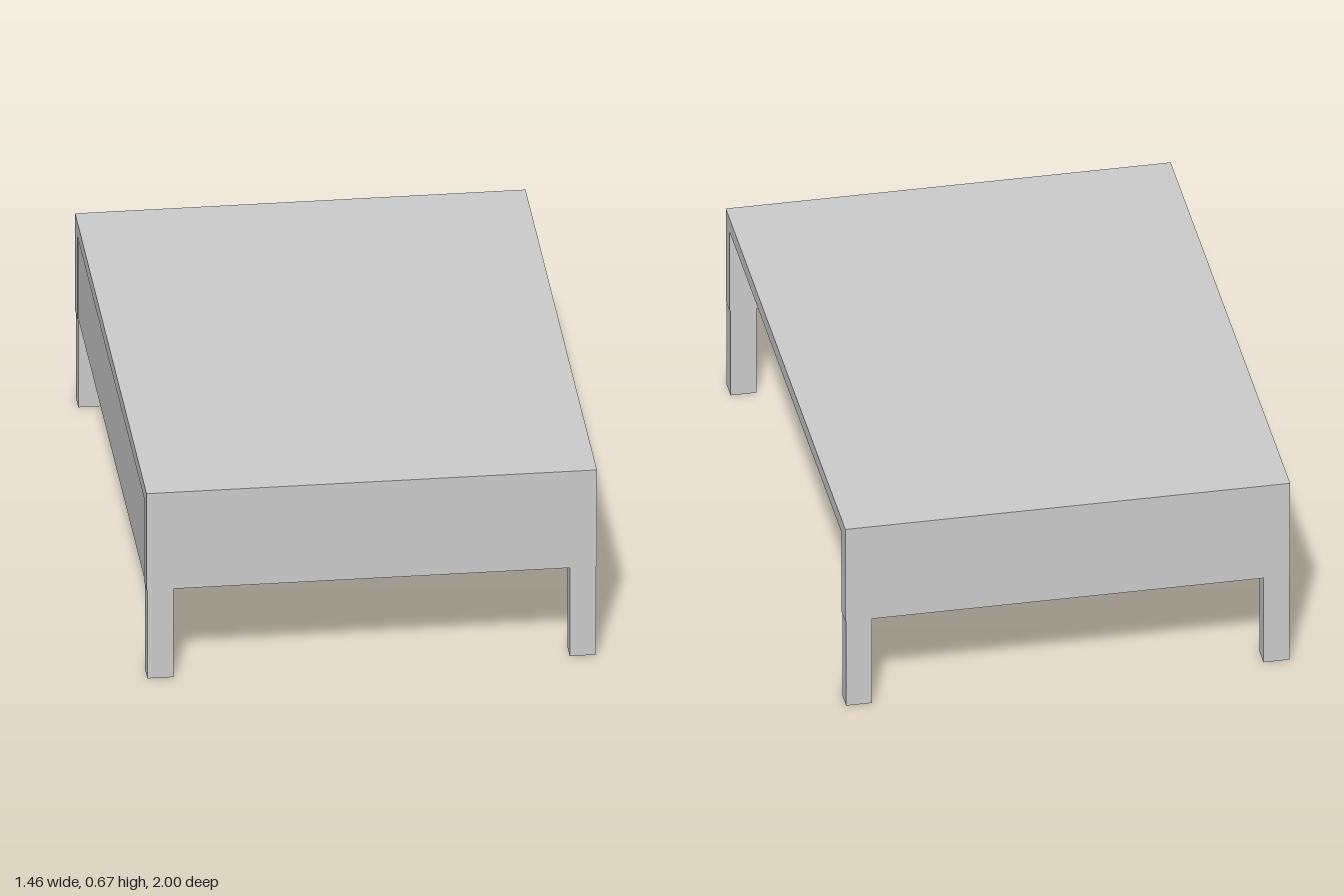
import * as THREE from 'three';

const W = 1.464, L = 2, H = 0.67;        // overall width (x), length (z), height
const TOP = 0.05;                        // thickness of the top
const APRON = 0.32;                      // underside of the aprons
const LEG_X = 0.085, LEG_Z = 0.066;      // leg section
const INSET = 0.003;                     // step between the legs and the left and right edges

export function createModel() {
  const group = new THREE.Group();
  const material = new THREE.MeshStandardMaterial({ color: 0xcccccc });

  const addBox = (name, w, h, d, x, bottom, z) => {
    const mesh = new THREE.Mesh(new THREE.BoxGeometry(w, h, d), material);
    mesh.name = name;
    mesh.position.set(x, bottom + h / 2, z);
    group.add(mesh);
  };

  const apronHeight = H - TOP - APRON;
  const legX = W / 2 - INSET - LEG_X / 2;
  const legZ = L / 2 - LEG_Z / 2;

  addBox('tableTop', W, TOP, L, 0, H - TOP, 0);

  // End aprons and the legs below them
  for (const [end, sz] of [['front', 1], ['back', -1]]) {
    addBox(`${end}Apron`, W, apronHeight, LEG_Z, 0, APRON, sz * legZ);
    for (const [side, sx] of [['Left', 1], ['Right', -1]]) {
      addBox(`${end}${side}Leg`, LEG_X, APRON, LEG_Z, sx * legX, 0, sz * legZ);
    }
  }

  // Only the right side is closed; the left side stays open
  addBox('rightApron', LEG_X, apronHeight, L - 2 * LEG_Z, -legX, APRON, 0);

  return group;
}
